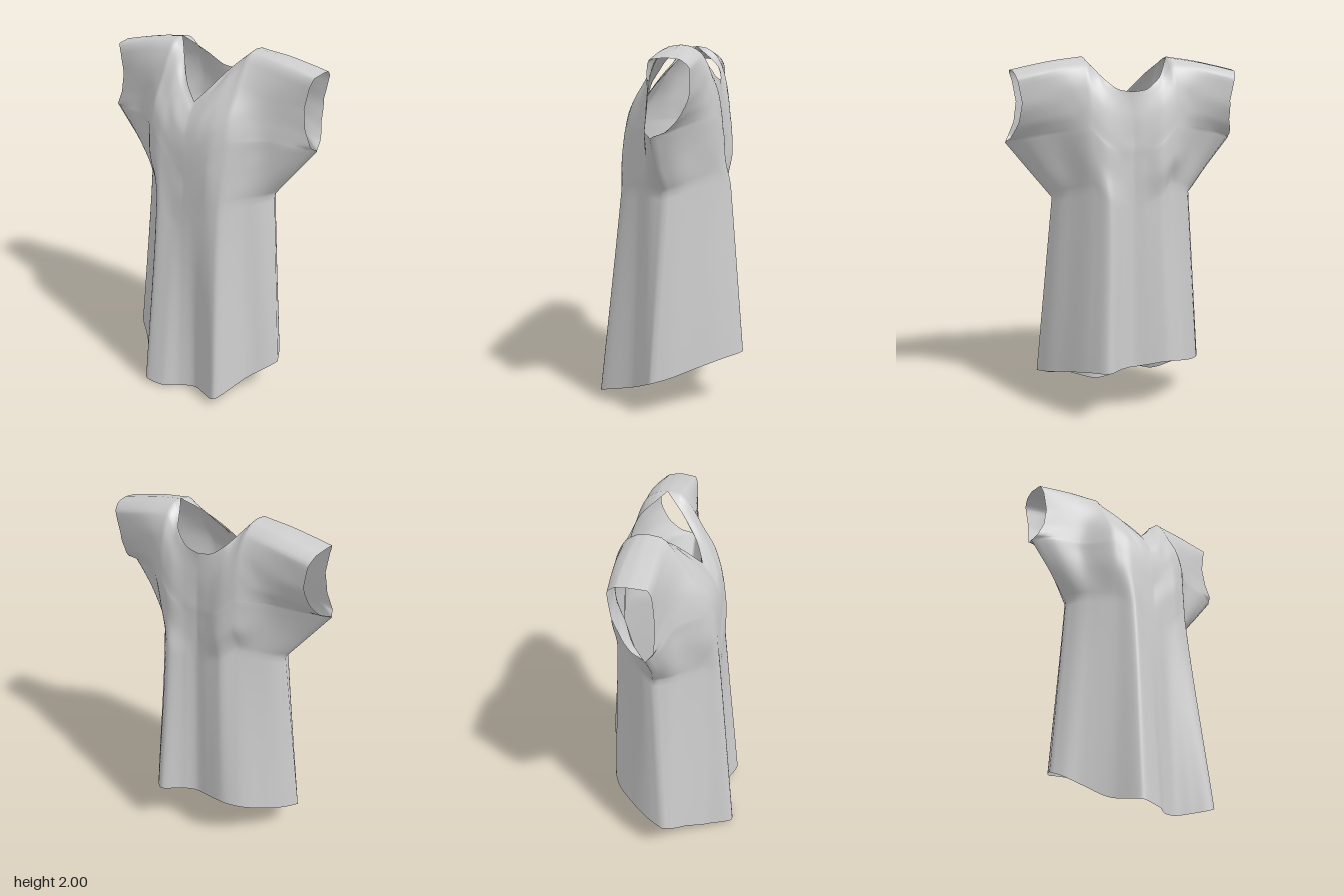
import * as THREE from 'three';
import { mergeGeometries, mergeVertices } from 'three/addons/utils/BufferGeometryUtils.js';

const { lerp, inverseLerp } = THREE.MathUtils;

// Monotone cubic interpolation through (xs, ys)
function smooth(xs, ys, x) {
  const n = xs.length;
  let k = 0;
  while (k < n - 2 && x > xs[k + 1]) k++;
  const secant = (i) => (ys[i + 1] - ys[i]) / (xs[i + 1] - xs[i]);
  const slope = (i) => {
    if (i === 0) return secant(0);
    if (i === n - 1) return secant(n - 2);
    const a = secant(i - 1), b = secant(i);
    return a * b <= 0 ? 0 : (2 * a * b) / (a + b);
  };
  const h = xs[k + 1] - xs[k], t = (x - xs[k]) / h, t2 = t * t, t3 = t2 * t;
  return (2 * t3 - 3 * t2 + 1) * ys[k] + (t3 - 2 * t2 + t) * h * slope(k)
    + (3 * t2 - 2 * t3) * ys[k + 1] + (t3 - t2) * h * slope(k + 1);
}

// Stations across a panel, from the middle (0) to the side edge (1)
const HALF = [0, 0.17, 0.36, 0.55, 0.77, 0.92, 1];
const FULL = [...HALF.slice(1).reverse().map((s) => -s), ...HALF];
const NECK = 3; // station of the corner between neckline and shoulder

const across = (row, s) => (row.length === HALF.length
  ? smooth(HALF, row, Math.abs(s)) : smooth(FULL, row, s));

// Neckline and shoulder meet in a sharp corner
function topEdge(row, s) {
  const a = Math.abs(s);
  return a < HALF[NECK] ? smooth(HALF.slice(0, NECK + 1), row.slice(0, NECK + 1), a)
    : smooth(HALF.slice(NECK), row.slice(NECK), a);
}

// Side edge: hem, armpit, sleeve underside, sleeve tip, sleeve opening, shoulder
const EDGE_Y = [0.2, 1.23, 1.4, 1.54, 1.57, 1.65, 1.76, 1.87, 1.92, 1.93];
const EDGE_X = [0.5, 0.405, 0.542, 0.655, 0.635, 0.6, 0.585, 0.605, 0.622, 0.63];
const ROWS = [28, 7, 6, 3, 4, 5, 5, 4, 4];
const COLS = 80;

// Each panel: hem and top outlines (y), then depth (z) at every edge level
const front = {
  hem: [0, 0.007, 0.025, 0.05, 0.125, 0.172, 0.2],
  top: [1.73, 1.803, 1.905, 2, 1.98, 1.952, 1.93],
  depth: [
    [0.04, 0.1, 0.16, 0.275, 0.418, 0.4, 0.335, 0.305, 0.345, 0.388, 0.17, 0.09, 0.04],
    [-0.02, 0.06, 0.13, 0.22, 0.3, 0.29, 0.285, 0.28, 0.28, 0.265, 0.14, 0.06, -0.02],
    [0.28, 0.28, 0.28, 0.245, 0.11, 0.06, 0],
    [0.27, 0.27, 0.265, 0.225, 0.09, 0.055, 0],
    [0.27, 0.268, 0.26, 0.22, 0.09, 0.055, 0.035],
    [0.268, 0.262, 0.245, 0.195, 0.085, 0.05, 0.035],
    [0.255, 0.24, 0.19, 0.125, 0.07, 0.045, 0.03],
    [0.205, 0.17, 0.11, 0.05, 0.035, 0.03, 0.025],
    [0.165, 0.125, 0.045, -0.005, 0, 0.005, 0.01],
    [0.16, 0.12, 0.035, -0.075, -0.075, -0.075, -0.075],
  ],
};
const back = {
  hem: [0.29, 0.3, 0.31, 0.295, 0.25, 0.22, 0.2],
  top: [1.815, 1.825, 1.88, 2, 1.98, 1.952, 1.93],
  depth: [
    [0.04, -0.05, -0.16, -0.28, -0.315, -0.305, -0.295, -0.34, -0.42, -0.33, -0.16, -0.05, 0.04],
    [-0.02, -0.085, -0.15, -0.225, -0.28, -0.28, -0.275, -0.3, -0.335, -0.27, -0.16, -0.085, -0.02],
    [-0.272, -0.285, -0.303, -0.275, -0.15, -0.075, 0],
    [-0.27, -0.28, -0.295, -0.27, -0.16, -0.085, 0],
    [-0.27, -0.28, -0.29, -0.268, -0.175, -0.11, -0.07],
    [-0.265, -0.275, -0.283, -0.262, -0.205, -0.165, -0.14],
    [-0.26, -0.265, -0.268, -0.242, -0.215, -0.195, -0.183],
    [-0.252, -0.25, -0.238, -0.195, -0.2, -0.195, -0.188],
    [-0.25, -0.243, -0.222, -0.13, -0.14, -0.145, -0.145],
    [-0.25, -0.242, -0.215, -0.075, -0.075, -0.075, -0.075],
  ],
};

// Grid rows along the side edge; body is the half width without the sleeve
function edgeRows() {
  const rows = [];
  ROWS.forEach((n, k) => {
    const last = k === ROWS.length - 1 ? n : n - 1;
    for (let i = 0; i <= last; i++) {
      const y = lerp(EDGE_Y[k], EDGE_Y[k + 1], i / n);
      rows.push({
        x: lerp(EDGE_X[k], EDGE_X[k + 1], i / n),
        y,
        body: smooth([0.2, 1.23, 1.93], [0.5, 0.405, 0.4], y),
      });
    }
  });
  return rows;
}

// The skirt falls straight from the armpit, the bodice is curved
function depthAt(zs, y) {
  return y < EDGE_Y[1] ? lerp(zs[0], zs[1], inverseLerp(EDGE_Y[0], EDGE_Y[1], y))
    : smooth(EDGE_Y, zs, y);
}

// Cloth panel as a grid of columns (hem to neckline or shoulder)
function panel({ hem, top, depth }, flip) {
  const rows = edgeRows(), pos = [], index = [], w = COLS + 1;
  const columns = Array.from({ length: w }, (_, i) => {
    const s = (i / COLS) * 2 - 1;
    const zs = depth.map((r, k) => (k === depth.length - 1 ? topEdge(r, s) : across(r, s)));
    return { s, low: across(hem, s), high: topEdge(top, s), zs };
  });
  rows.forEach((e, j) => {
    const g = inverseLerp(EDGE_Y[0], EDGE_Y.at(-1), e.y);
    columns.forEach(({ s, low, high, zs }, i) => {
      // The sleeve flares out near the side edge only
      const x = s * (e.body + (e.x - e.body) * Math.abs(s) ** 3);
      pos.push(x, lerp(low, high, g), depthAt(zs, e.y));
      if (i < COLS && j < rows.length - 1) {
        const a = j * w + i, b = a + 1, c = b + w, d = a + w;
        index.push(...(flip ? [a, c, b, a, d, c] : [a, b, c, a, c, d]));
      }
    });
  });
  const geo = new THREE.BufferGeometry();
  geo.setAttribute('position', new THREE.Float32BufferAttribute(pos, 3));
  geo.setIndex(index);
  return geo;
}

export function createModel() {
  const group = new THREE.Group();
  group.name = 'dress';
  // Sew the panels together at the side and shoulder seams
  const cloth = mergeVertices(mergeGeometries([panel(front, false), panel(back, true)]), 1e-4);
  cloth.computeVertexNormals();
  const mesh = new THREE.Mesh(cloth, new THREE.MeshStandardMaterial({
    color: 0xcccccc, roughness: 0.9, side: THREE.DoubleSide,
  }));
  mesh.name = 'dressCloth';
  group.add(mesh);
  return group;
}
